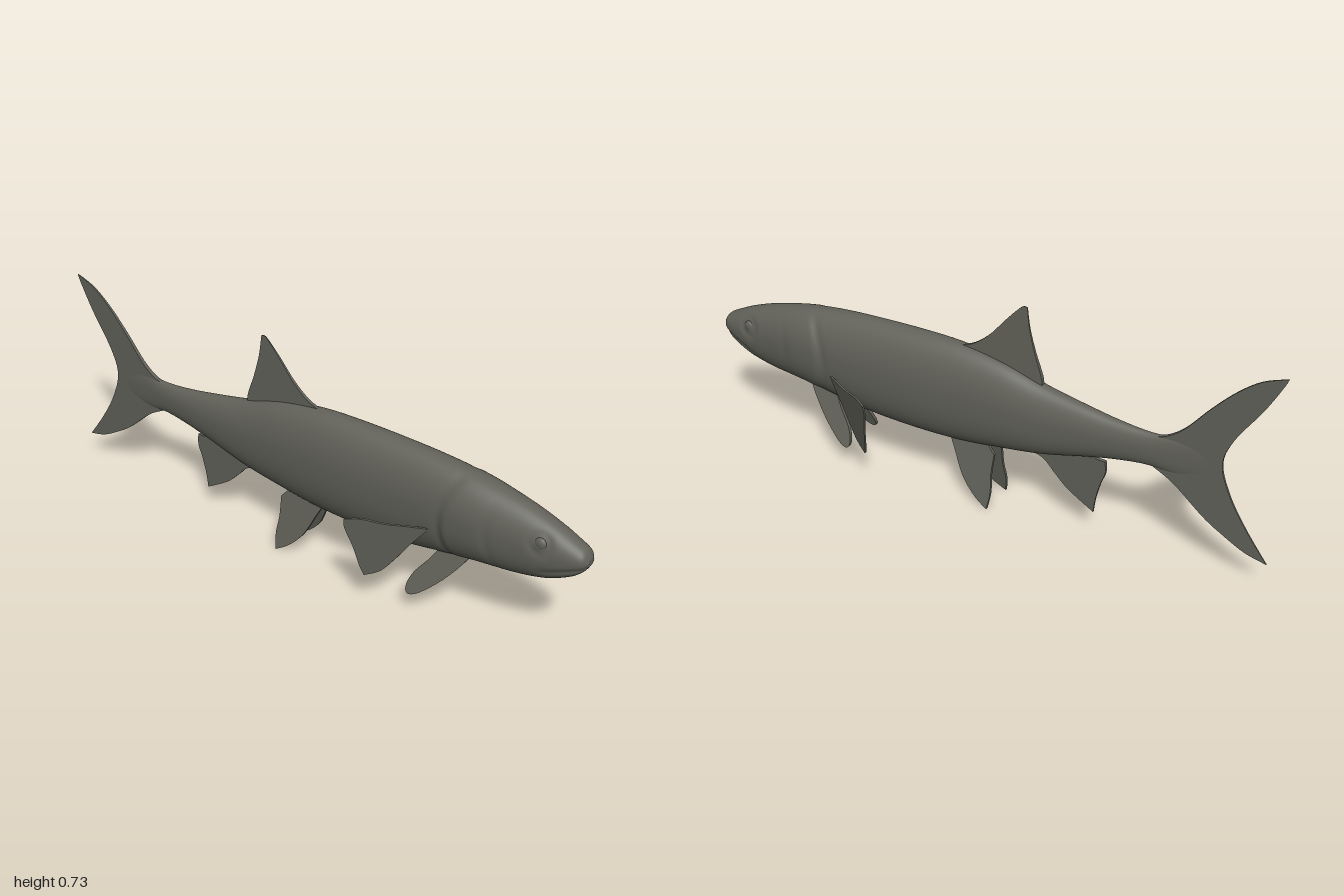
import * as THREE from 'three';

const skin = new THREE.MeshStandardMaterial({ color: 0x62625a });
skin.name = 'olive grey skin';

// body stations: z, top, bottom, half width
const STATIONS = [
  [1.0, 0.392, 0.368, 0.018], [0.985, 0.415, 0.345, 0.036], [0.95, 0.434, 0.316, 0.048],
  [0.88, 0.465, 0.282, 0.061], [0.78, 0.497, 0.260, 0.072], [0.65, 0.525, 0.247, 0.081],
  [0.52, 0.541, 0.225, 0.084], [0.38, 0.549, 0.203, 0.084], [0.20, 0.552, 0.196, 0.083],
  [0.05, 0.547, 0.200, 0.077], [-0.10, 0.523, 0.217, 0.068], [-0.25, 0.480, 0.240, 0.055],
  [-0.40, 0.450, 0.278, 0.041], [-0.50, 0.434, 0.300, 0.031], [-0.60, 0.426, 0.313, 0.021],
  [-0.70, 0.432, 0.308, 0.011], [-0.80, 0.420, 0.330, 0.004],
];

const bell = (d, w) => Math.exp(-(d * d) / (w * w));
const step = THREE.MathUtils.smoothstep;

// sideways relief of the head: gill cover edge, cheek ridge, eye socket, mouth
function headRelief(y, z) {
  const edge = 0.555 + 2.2 * (y - 0.37) ** 2;
  const cheek = 0.70 + 1.8 * (y - 0.40) ** 2;
  let r = 0.007 * step(z, edge - 0.012, edge + 0.012) * (1 - step(z, 0.62, 0.80));
  r -= 0.003 * bell(z - edge + 0.015, 0.014);
  r -= 0.003 * bell(z - cheek, 0.014) * bell(y - 0.38, 0.09);
  r -= 0.004 * bell(Math.hypot(z - 0.865, y - 0.413) - 0.028, 0.012);
  r -= 0.005 * bell(y - (0.366 - 0.38 * (1 - z)), 0.008) * step(z, 0.85, 0.89);
  return r;
}

function bodyGeometry() {
  const RINGS = 190, SIDES = 72;
  const v3 = (a, b, c) => new THREE.Vector3(a, b, c);
  const heights = new THREE.CatmullRomCurve3(STATIONS.map(s => v3(s[0], s[1], s[2])), false, 'catmullrom', 0.5);
  const widths = new THREE.CatmullRomCurve3(STATIONS.map(s => v3(s[0], s[3], 0)), false, 'catmullrom', 0.5);
  const pos = [], idx = [];
  for (let i = 0; i <= RINGS; i++) {
    const { x: z, y: top, z: bottom } = heights.getPoint(i / RINGS);
    const w = widths.getPoint(i / RINGS).y;
    const mid = bottom + (top - bottom) * 0.53;
    for (let k = 0; k < SIDES; k++) {
      const a = (k / SIDES) * Math.PI * 2, c = Math.cos(a), s = Math.sin(a);
      // slightly fuller below than above
      const p = s < 0 ? 0.86 : 0.98;
      const y = mid + Math.sign(s) * Math.abs(s) ** p * (s > 0 ? top - mid : mid - bottom);
      let x = Math.sign(c) * Math.abs(c) ** p * w;
      x += c * headRelief(y, z);
      pos.push(x, y, z);
    }
  }
  for (let i = 0; i < RINGS; i++) {
    for (let k = 0; k < SIDES; k++) {
      const n = (k + 1) % SIDES;
      const a = i * SIDES + k, b = a + SIDES, c = i * SIDES + n, d = c + SIDES;
      idx.push(a, b, c, c, b, d);
    }
  }
  // close nose and tail root
  const nose = pos.length / 3;
  pos.push(0, 0.38, 1, 0, 0.375, -0.8);
  for (let k = 0; k < SIDES; k++) {
    const n = (k + 1) % SIDES, last = RINGS * SIDES;
    idx.push(nose, k, n, nose + 1, last + n, last + k);
  }
  const g = new THREE.BufferGeometry();
  g.setAttribute('position', new THREE.Float32BufferAttribute(pos, 3));
  g.setIndex(idx);
  g.computeVertexNormals();
  return g;
}

// thin fin from a base line and a curved free edge, both as [z, y];
// place(z, y) gives sideways position, thick(z, y) the thickness
function fin(name, base, edge, thick, place = () => 0) {
  const shape = new THREE.Shape();
  shape.moveTo(...base[0]);
  base.slice(1).forEach(p => shape.lineTo(...p));
  edge.forEach(run => shape.splineThru(run.map(p => new THREE.Vector2(...p))));
  const g = new THREE.ExtrudeGeometry(shape, { depth: 1, bevelEnabled: false, curveSegments: 20 });
  g.translate(0, 0, -0.5);
  g.rotateY(-Math.PI / 2);
  const p = g.attributes.position;
  for (let i = 0; i < p.count; i++) {
    const y = p.getY(i), z = p.getZ(i);
    p.setX(i, p.getX(i) * thick(z, y) + place(z, y));
  }
  g.computeVertexNormals();
  const mesh = new THREE.Mesh(g, skin);
  mesh.name = name;
  return mesh;
}

export function createModel() {
  const fish = new THREE.Group();
  fish.name = 'fish';
  const body = new THREE.Mesh(bodyGeometry(), skin);
  body.name = 'body';
  fish.add(body);

  // forked tail
  fish.add(fin('tailFin', [[-0.62, 0.33], [-0.60, 0.37], [-0.62, 0.42]], [
    [[-0.66, 0.435], [-0.71, 0.475], [-0.78, 0.56], [-0.85, 0.635], [-0.92, 0.69], [-0.995, 0.72]],
    [[-0.98, 0.685], [-0.935, 0.60], [-0.86, 0.48], [-0.833, 0.39], [-0.865, 0.29], [-0.925, 0.19], [-1, 0.09]],
    [[-0.93, 0.108], [-0.86, 0.145], [-0.79, 0.19], [-0.69, 0.275], [-0.62, 0.315]],
  ], z => THREE.MathUtils.mapLinear(z, -0.6, -1, 0.016, 0.003)));

  // dorsal fin
  fish.add(fin('dorsalFin', [[-0.235, 0.45], [0.0, 0.50], [0.07, 0.54]], [
    [[0.01, 0.558], [-0.05, 0.605], [-0.11, 0.675], [-0.16, 0.727], [-0.18, 0.73]],
    [[-0.19, 0.66], [-0.21, 0.585], [-0.238, 0.50], [-0.235, 0.45]],
  ], (z, y) => THREE.MathUtils.mapLinear(y, 0.5, 0.73, 0.014, 0.003)));

  // anal fin
  fish.add(fin('analFin', [[-0.42, 0.30], [-0.20, 0.26], [-0.20, 0.235]], [
    [[-0.25, 0.22], [-0.29, 0.18], [-0.34, 0.133], [-0.43, 0.077]],
    [[-0.436, 0.13], [-0.45, 0.19], [-0.465, 0.235], [-0.463, 0.277]],
    [[-0.43, 0.28], [-0.42, 0.30]],
  ], (z, y) => THREE.MathUtils.mapLinear(y, 0.28, 0.08, 0.012, 0.006)));

  // paired fins
  for (const [side, s] of [['left', 1], ['right', -1]]) {
    fish.add(fin(side + 'PectoralFin', [[0.46, 0.26], [0.49, 0.30], [0.515, 0.332]], [
      [[0.46, 0.336], [0.40, 0.338], [0.34, 0.35], [0.295, 0.345]],
      [[0.295, 0.31], [0.312, 0.24], [0.325, 0.165], [0.335, 0.127]],
      [[0.38, 0.15], [0.42, 0.20], [0.46, 0.26]],
    ], () => 0.008, (z, y) => s * (0.08 + (0.51 - z) * 0.56 - (0.335 - y) * 0.15)));

    fish.add(fin(side + 'ThroatFin', [[0.53, 0.25], [0.63, 0.25]], [
      [[0.60, 0.205], [0.55, 0.145], [0.49, 0.09], [0.455, 0.077], [0.445, 0.10], [0.46, 0.145], [0.50, 0.20], [0.53, 0.25]],
    ], () => 0.012, (z, y) => s * (0.028 + (0.24 - y) * 0.34)));

    fish.add(fin(side + 'PelvicFin', [[-0.05, 0.23], [0.09, 0.23]], [
      [[0.06, 0.17], [0.02, 0.09], [-0.03, 0.035], [-0.08, 0.002]],
      [[-0.087, 0.06], [-0.082, 0.12], [-0.085, 0.19]],
      [[-0.07, 0.207], [-0.05, 0.23]],
    ], () => 0.010, (z, y) => s * (0.02 + (0.21 - y) * 0.215)));

    // eye
    const eye = new THREE.Mesh(new THREE.SphereGeometry(0.02, 24, 16), skin);
    eye.name = side + 'Eye';
    eye.scale.x = 0.55;
    eye.position.set(s * 0.051, 0.413, 0.865);
    fish.add(eye);
  }
  return fish;
}
